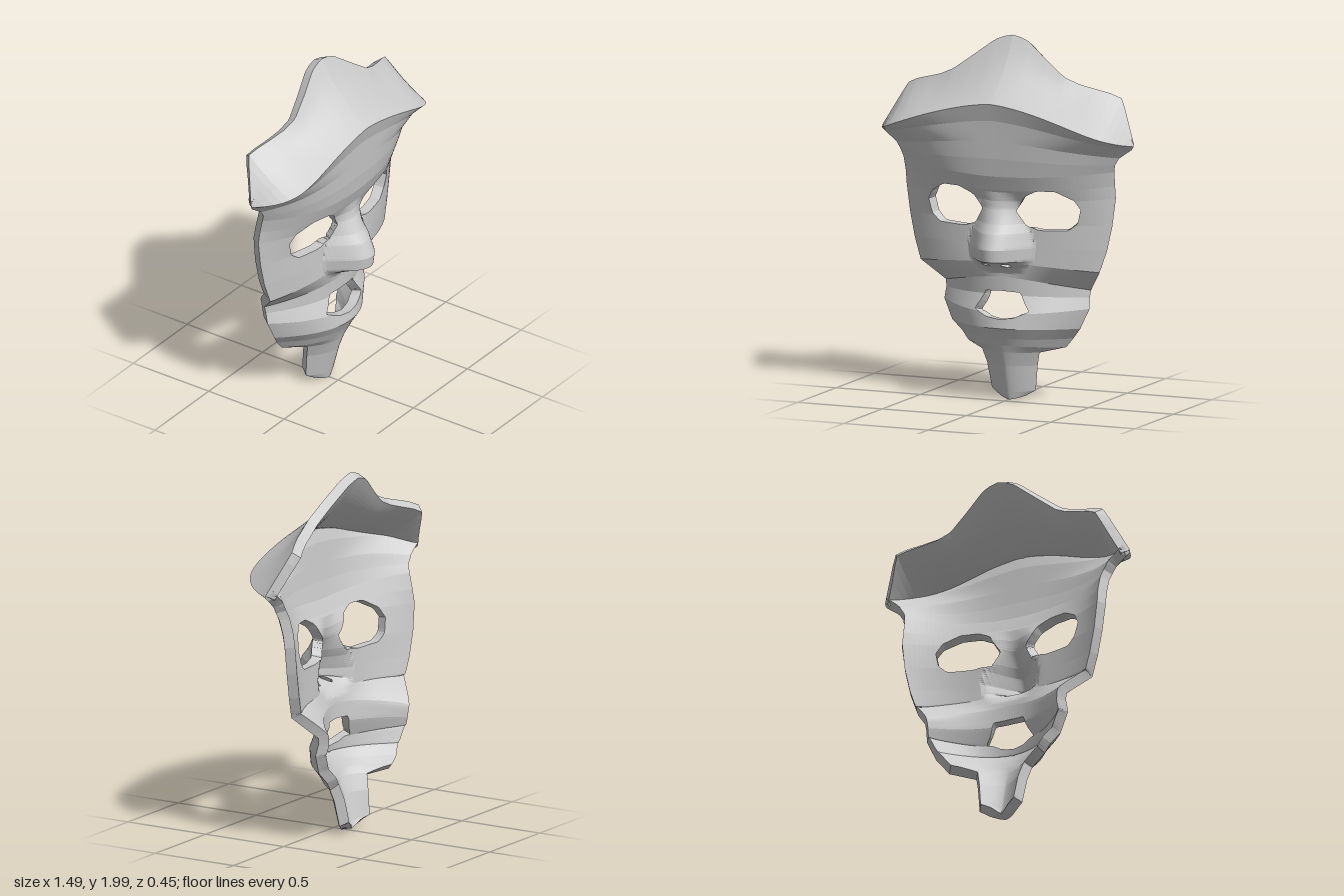
import * as THREE from 'three';

const THICKNESS = 0.057, STEP = 0.014, HALF_COLS = 32;

// Face cross-sections, chin to brow: edge x, y, z, centre y, z, bow power
const rows = [
  [0.08, 0.03, -0.10, 0.01, -0.06, 1.6], [0.13, 0.06, -0.12, 0.05, -0.05, 1.6],
  [0.15, 0.20, -0.10, 0.20, -0.01, 1.6], [0.17, 0.275, -0.08, 0.28, 0.015, 1.8],
  [0.29, 0.30, -0.165, 0.32, 0.03, 2], [0.33, 0.35, -0.17, 0.36, 0.05, 2],
  [0.38, 0.41, -0.15, 0.42, 0.085, 2], [0.43, 0.52, -0.16, 0.50, 0.075, 2],
  [0.425, 0.58, -0.175, 0.60, 0.035, 2], [0.43, 0.62, -0.18, 0.70, 0.04, 2],
  [0.53, 0.74, -0.07, 0.78, 0.05, 2.3], [0.57, 0.86, -0.08, 0.88, 0.045, 2.7],
  [0.60, 1.00, -0.085, 1.00, 0.045, 2.8], [0.62, 1.15, -0.085, 1.12, 0.075, 2.8],
  [0.62, 1.22, -0.075, 1.18, 0.105, 2.8], [0.625, 1.30, -0.055, 1.26, 0.135, 2.8],
  [0.635, 1.34, -0.04, 1.36, 0.15, 3], [0.66, 1.38, -0.04, 1.46, 0.158, 3.2],
  [0.73, 1.43, -0.05, 1.57, 0.167, 5], [0.745, 1.45, -0.04, 1.665, 0.193, 8],
];
// Upper edge of the headdress: x, y, z
const crest = [
  [0, 2.0, -0.105], [0.05, 1.99, -0.105], [0.1, 1.97, -0.10], [0.22, 1.88, -0.07],
  [0.33, 1.80, -0.05], [0.41, 1.765, -0.065], [0.5, 1.74, -0.09], [0.57, 1.72, -0.115],
  [0.635, 1.69, -0.14], [0.745, 1.465, -0.045],
];
// Nose: y, height above the face, half width
const nose = [
  [0.72, 0, 0.14], [0.755, 0.035, 0.16], [0.80, 0.168, 0.19], [0.87, 0.18, 0.20],
  [0.95, 0.145, 0.18], [1.08, 0.04, 0.12], [1.17, 0, 0.10],
];
// Openings
const eye = [[0.10, 1.07], [0.15, 1.15], [0.23, 1.19], [0.33, 1.19], [0.42, 1.14],
  [0.45, 1.09], [0.43, 1.01], [0.38, 0.97], [0.22, 0.965], [0.15, 0.99]];
const nostril = [[0.035, 0.772], [0.055, 0.788], [0.085, 0.78], [0.085, 0.765], [0.055, 0.758]];
const mouth = [[-0.1, 0.615], [0, 0.62], [0.1, 0.615], [0.13, 0.56], [0.16, 0.515],
  [0.08, 0.48], [0, 0.47], [-0.08, 0.48], [-0.16, 0.515], [-0.13, 0.56]];
const flip = (poly) => poly.map(([x, y]) => [-x, y]);
const holes = [eye, flip(eye), nostril, flip(nostril), mouth];

const { lerp, clamp } = THREE.MathUtils;
const mix = (a, b, s) => a.map((v, i) => lerp(v, b[i], s));

// Linear lookup in a table sorted by its first column
function sample(table, k) {
  const i = clamp(table.findIndex((r) => r[0] >= k), 1, table.length - 1);
  const a = table[i - 1], b = table[i];
  return mix(a, b, (k - a[0]) / (b[0] - a[0]));
}

// Point on a face row, t from 0 (centre) to 1 (edge), with the nose added
function facePoint([ex, ey, ez, cy, cz, p], t) {
  const x = t * ex, y = lerp(cy, ey, t ** 1.5);
  let z = lerp(cz, ez, t ** p);
  if (y > 0.72 && y < 1.17) {
    const [, h, w] = sample(nose, y);
    z += h * Math.max(0, 1 - (x / w) ** 2) ** 1.5;
  }
  return [x, y, z];
}

// Distance to the outline of a polygon, negative inside
function distance(poly, x, y) {
  let hit = false, min = Infinity;
  poly.forEach(([ax, ay], i) => {
    const [bx, by] = poly[(i + 1) % poly.length], dx = bx - ax, dy = by - ay;
    const s = clamp(((x - ax) * dx + (y - ay) * dy) / (dx * dx + dy * dy), 0, 1);
    min = Math.min(min, Math.hypot(ax + s * dx - x, ay + s * dy - y));
    if ((ay > y) !== (by > y) && x < ax + ((y - ay) / dy) * dx) hit = !hit;
  });
  return hit ? -min : min;
}

// Every row as a function of t: face first, then the headdress
function buildRows() {
  const out = [], last = rows.length - 1, brow = rows[last];
  for (let i = 0; i < last; i++) {
    const a = rows[i], b = rows[i + 1];
    const n = Math.ceil(Math.max(b[1] - a[1], b[3] - a[3]) / STEP);
    for (let k = 0; k < n; k++) out.push((t) => facePoint(mix(a, b, k / n), t));
  }
  for (let k = 0; k <= 14; k++) {
    const s = k / 14;
    out.push((t) => {
      const p = mix(facePoint(brow, t), sample(crest, t * brow[0]), s);
      p[2] -= 0.037 * Math.sin(Math.PI * s) * (1 - t ** 4);
      return p;
    });
  }
  return out;
}

// Vertex normals averaged with their neighbours, for an even inner skin
function softNormals(pos, index) {
  const skin = new THREE.BufferGeometry();
  skin.setAttribute('position', new THREE.Float32BufferAttribute(pos, 3));
  skin.setIndex(index);
  skin.computeVertexNormals();
  const attr = skin.attributes.normal;
  let normals = pos.slice(0, attr.count).map((_, i) => new THREE.Vector3().fromBufferAttribute(attr, i));
  for (let pass = 0; pass < 4; pass++) {
    const next = normals.map((v) => v.clone());
    for (let i = 0; i < index.length; i++) {
      const first = i - (i % 3);
      for (let k = 0; k < 3; k++) next[index[i]].add(normals[index[first + k]]);
    }
    normals = next.map((v) => v.normalize());
  }
  return normals;
}

function maskGeometry() {
  const pos = [], dist = [], cols = 2 * HALF_COLS + 1, grid = buildRows();
  for (const row of grid) {
    for (let j = -HALF_COLS; j <= HALF_COLS; j++) {
      const [ax, y, z] = row((Math.abs(j) / HALF_COLS) ** 1.25);
      const x = j < 0 ? -ax : ax;
      pos.push(x, y, z);
      dist.push(Math.min(...holes.map((poly) => distance(poly, x, y))));
    }
  }

  // Point where a grid edge crosses the outline of an opening
  const crossings = new Map();
  const crossing = (p, q) => {
    const key = `${Math.min(p, q)},${Math.max(p, q)}`;
    if (!crossings.has(key)) {
      const s = dist[p] / (dist[p] - dist[q]);
      crossings.set(key, pos.length / 3);
      pos.push(...mix(pos.slice(3 * p, 3 * p + 3), pos.slice(3 * q, 3 * q + 3), s));
    }
    return crossings.get(key);
  };

  // Front skin with mirrored diagonals, trimmed at the openings
  const front = [];
  const tri = (...corners) => {
    const ring = [];
    corners.forEach((p, i) => {
      const q = corners[(i + 1) % 3];
      if (dist[p] > 0) ring.push(p);
      if ((dist[p] > 0) !== (dist[q] > 0)) ring.push(crossing(p, q));
    });
    for (let i = 2; i < ring.length; i++) front.push(ring[0], ring[i - 1], ring[i]);
  };
  for (let i = 0; i < grid.length - 1; i++) {
    for (let j = 0; j < cols - 1; j++) {
      const a = i * cols + j, b = a + 1, d = a + cols, c = d + 1;
      if (j >= HALF_COLS) { tri(a, b, c); tri(a, c, d); }
      else { tri(a, b, d); tri(b, c, d); }
    }
  }

  // Back skin, offset inwards
  const n = pos.length / 3, all = pos.slice(), index = front.slice();
  softNormals(pos, front).forEach((dir, i) => {
    dir.z += 0.25;
    dir.normalize().multiplyScalar(THICKNESS);
    all.push(pos[3 * i] - dir.x, pos[3 * i + 1] - dir.y, pos[3 * i + 2] - dir.z);
  });
  const edges = new Set();
  for (let i = 0; i < front.length; i += 3) {
    const [a, b, c] = front.slice(i, i + 3);
    index.push(a + n, c + n, b + n);
    for (const [p, q] of [[a, b], [b, c], [c, a]]) edges.add(p * n + q);
  }
  // Walls round the rim and the openings
  for (const e of edges) {
    const p = Math.floor(e / n), q = e % n;
    if (!edges.has(q * n + p)) index.push(q, p, p + n, q, p + n, q + n);
  }
  const geometry = new THREE.BufferGeometry();
  geometry.setAttribute('position', new THREE.Float32BufferAttribute(all, 3));
  geometry.setIndex(index);
  geometry.computeVertexNormals();
  return geometry;
}

export function createModel() {
  const group = new THREE.Group();
  group.name = 'mask';
  const material = new THREE.MeshStandardMaterial({
    color: 0xcccccc, flatShading: true, side: THREE.DoubleSide,
  });
  const shell = new THREE.Mesh(maskGeometry(), material);
  shell.name = 'maskShell';
  group.add(shell);
  return group;
}
